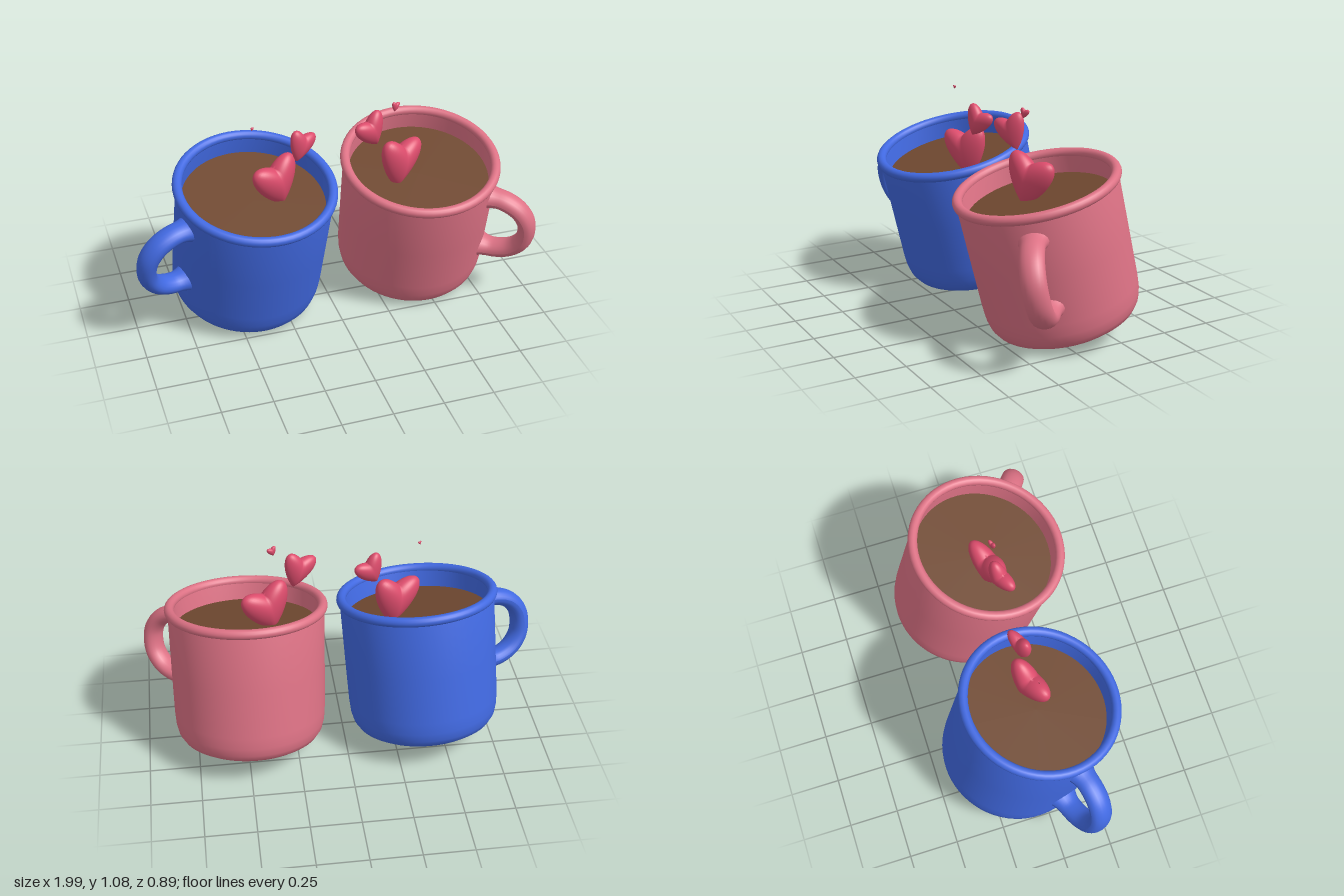
import * as THREE from 'three';
import { mergeVertices } from 'three/addons/utils/BufferGeometryUtils.js';

const paint = (color) => new THREE.MeshStandardMaterial({ color });
const BLUE = paint(0x4169e1), PINK = paint(0xdd7285);
const COFFEE = paint(0x6f4830), RED = paint(0xdc4c6c);

function add(parent, name, geometry, material) {
  const mesh = new THREE.Mesh(geometry, material);
  mesh.name = name;
  parent.add(mesh);
  return mesh;
}

// Cup wall: outside from the base up, then down the inside
function bodyGeometry() {
  const profile = [
    [0, 0], [0.2, 0], [0.28, 0.001], [0.315, 0.009], [0.345, 0.028], [0.364, 0.058],
    [0.374, 0.1], [0.378, 0.16], [0.381, 0.4], [0.384, 0.7],
    [0.354, 0.7], [0.352, 0.4], [0.345, 0.1], [0.3, 0.05], [0, 0.045],
  ].map(([r, y]) => new THREE.Vector2(r, y));
  return new THREE.LatheGeometry(profile, 64);
}

// D-shaped oval tube that flares where it meets the cup
function handleGeometry() {
  const path = new THREE.CatmullRomCurve3([
    [0.355, 0.17], [0.45, 0.166], [0.53, 0.128], [0.58, 0.055],
    [0.58, -0.055], [0.53, -0.128], [0.45, -0.166], [0.355, -0.17],
  ].map(([x, y]) => new THREE.Vector3(x, y, 0)));
  const steps = 48, sides = 20;
  const geometry = new THREE.TubeGeometry(path, steps, 0.044, sides);
  const pos = geometry.attributes.position;
  const p = new THREE.Vector3();
  for (let i = 0; i <= steps; i++) {
    const centre = path.getPointAt(i / steps);
    const flare = 1 + 0.4 * Math.max(0, (0.43 - centre.x) / 0.075) ** 2;
    for (let j = 0; j <= sides; j++) {
      const k = i * (sides + 1) + j;
      p.fromBufferAttribute(pos, k).sub(centre).multiplyScalar(flare);
      p.z *= 1.33;
      p.add(centre);
      pos.setXYZ(k, p.x, p.y, p.z);
    }
  }
  geometry.computeVertexNormals();
  return geometry;
}

// Sphere pulled into a puffy heart
function heartGeometry() {
  let geometry = new THREE.SphereGeometry(1, 40, 28);
  geometry.deleteAttribute('uv');
  geometry.deleteAttribute('normal');
  geometry = mergeVertices(geometry);
  const pos = geometry.attributes.position;
  for (let i = 0; i < pos.count; i++) {
    const x = pos.getX(i), y = pos.getY(i), z = pos.getZ(i);
    pos.setXYZ(i, x, 0.85 * y + 0.75 * Math.abs(x), z * 0.46 * (1 + 0.2 * y));
  }
  geometry.computeVertexNormals();
  return geometry;
}

function makeMug(name, material, x, lean, handleTurn) {
  const mug = new THREE.Group();
  mug.name = name;
  add(mug, 'cup', bodyGeometry(), material);
  const rim = add(mug, 'rim', new THREE.TorusGeometry(0.376, 0.024, 16, 64), material);
  rim.rotation.x = Math.PI / 2;
  rim.position.y = 0.7;
  const handle = add(mug, 'handle', handleGeometry(), material);
  handle.position.y = 0.415;
  handle.rotation.y = handleTurn;
  const drink = add(mug, 'drink', new THREE.CircleGeometry(0.354, 64), COFFEE);
  drink.rotation.x = -Math.PI / 2;
  drink.position.y = 0.605;
  // Tipped forward, leaning slightly sideways
  mug.rotation.set(0.235, 0, lean);
  mug.position.set(x, 0.08, -0.108);
  return mug;
}

export function createModel() {
  const model = new THREE.Group();
  model.name = 'mugsWithHearts';
  model.add(makeMug('blueMug', BLUE, -0.415, -0.05, Math.PI + 0.31));
  model.add(makeMug('pinkMug', PINK, 0.481, 0.02, -0.64));

  // Hearts rising from each drink: x, y, z, half width, roll
  const hearts = [
    [-0.265, 0.728, 0.03, 0.126, 0.2],
    [-0.15, 0.918, 0.035, 0.076, -0.42],
    [-0.384, 1.062, 0.04, 0.009, -0.2],
    [0.36, 0.732, 0.035, 0.126, -0.2],
    [0.215, 0.943, 0.038, 0.086, 0.38],
    [0.33, 1.067, 0.042, 0.024, -0.25],
  ];
  const heart = heartGeometry();
  hearts.forEach(([x, y, z, size, roll], i) => {
    const mesh = add(model, `heart${i + 1}`, heart, RED);
    mesh.position.set(x, y, z);
    mesh.rotation.set(0, 0.42, roll);
    mesh.scale.setScalar(size);
  });
  return model;
}
